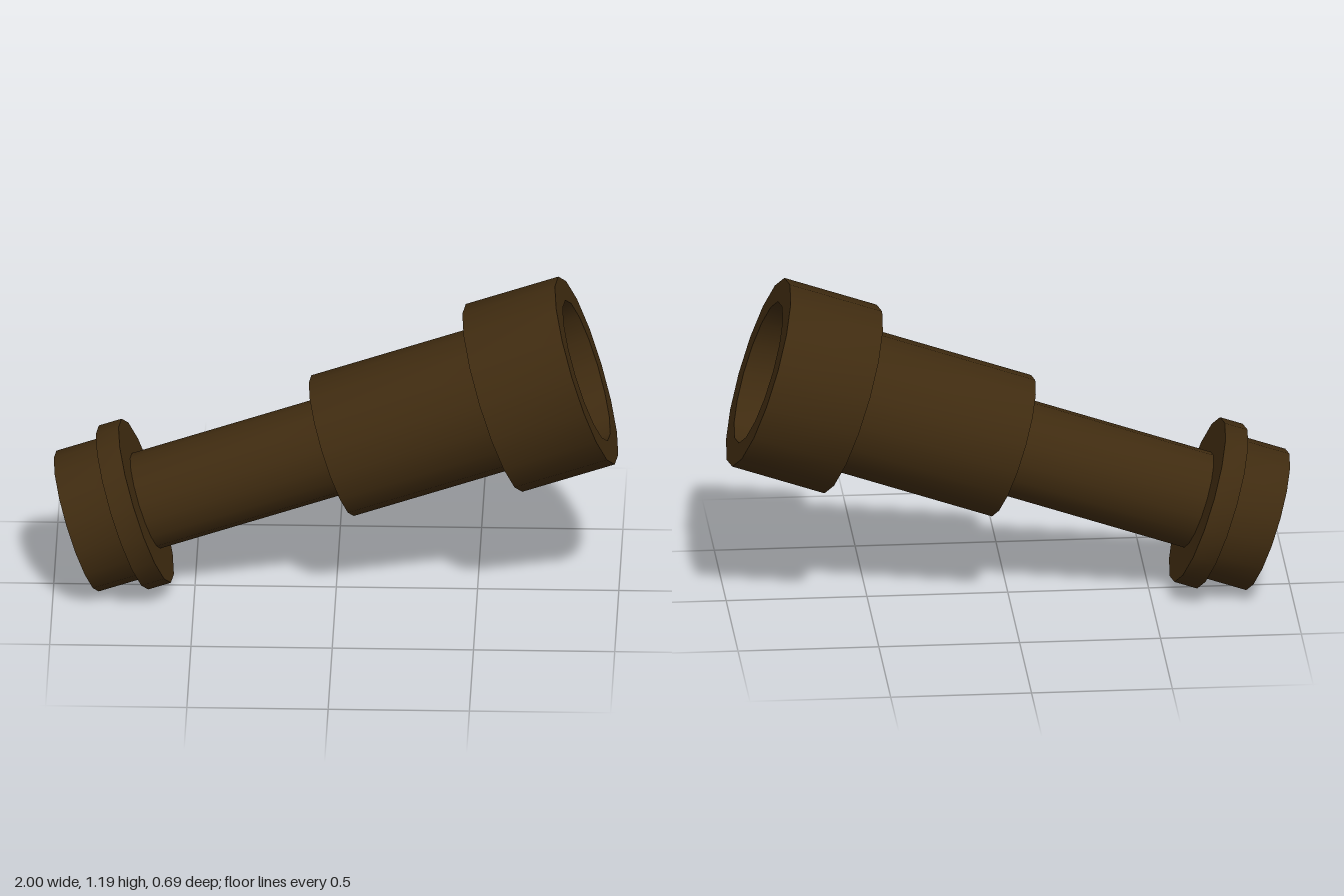
import * as THREE from 'three';
import { toCreasedNormals } from 'three/addons/utils/BufferGeometryUtils.js';

const SIDES = 16;
const TILT = THREE.MathUtils.degToRad(18.87);

// Radii of the nested tubes
const BORE = 0.09, THIN = 0.176, MID = 0.26, RIM = 0.303, WIDE = 0.347;

// Positions along the axis, from the eyepiece end
const RIM_START = 0.172, RIM_END = 0.257, MID_START = 0.954, WIDE_START = 1.558, END = 1.904;
const WALL = 0.086;

export function createModel() {
  const model = new THREE.Group();
  const spyglass = new THREE.Group();
  spyglass.name = 'spyglass';
  model.add(spyglass);

  const material = new THREE.MeshStandardMaterial({ color: 0x3f2b10 });

  // Turn a [radius, distance] profile: smooth round the axis, sharp at the steps
  const turn = (name, profile) => {
    const points = profile.map(([r, d]) => new THREE.Vector2(r, d));
    const geometry = toCreasedNormals(new THREE.LatheGeometry(points, SIDES), Math.PI / 5);
    const mesh = new THREE.Mesh(geometry, material);
    mesh.name = name;
    spyglass.add(mesh);
  };

  // Eyepiece cup with its recessed floor
  turn('eyepiece', [[BORE, RIM_START], [THIN, RIM_START], [THIN, 0], [MID, 0], [MID, RIM_START]]);

  // Raised ring behind the eyepiece
  turn('eyepieceRim', [[MID, RIM_START], [RIM, RIM_START], [RIM, RIM_END], [THIN, RIM_END]]);

  // Three telescoping tubes, each with the step to the next
  turn('thinTube', [[THIN, RIM_END], [THIN, MID_START]]);
  turn('middleTube', [[THIN, MID_START], [MID, MID_START], [MID, WIDE_START]]);
  turn('wideTube', [[MID, WIDE_START], [WIDE, WIDE_START], [WIDE, END], [MID, END]]);

  // Stepped bore running through all the tubes
  turn('innerBore', [
    [MID, END], [MID, WIDE_START + WALL], [THIN, WIDE_START + WALL],
    [THIN, MID_START + WALL], [BORE, MID_START + WALL], [BORE, RIM_START],
  ]);

  // Lean the axis up toward +x
  spyglass.rotation.z = TILT - Math.PI / 2;
  spyglass.position.set(-0.916, 0.247, 0);
  return model;
}
